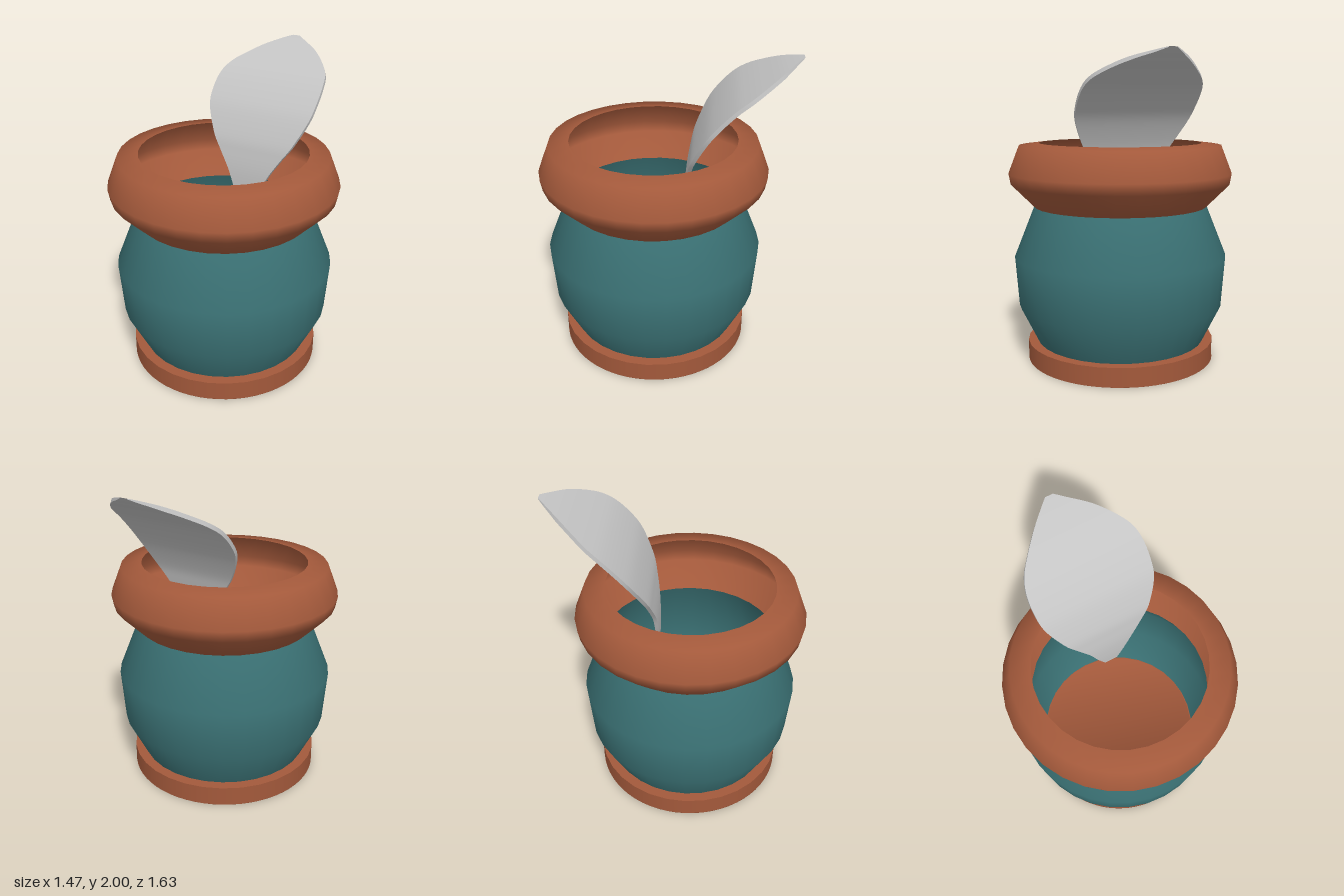
import * as THREE from 'three';
import { toCreasedNormals } from 'three/addons/utils/BufferGeometryUtils.js';

const SIDES = 32;

function material(name, color) {
  const m = new THREE.MeshStandardMaterial({ color, side: THREE.DoubleSide });
  m.name = name;
  return m;
}

function addMesh(parent, name, geometry, mat) {
  const mesh = new THREE.Mesh(geometry, mat);
  mesh.name = name;
  parent.add(mesh);
  return mesh;
}

// thin-walled turned part from [radius, height] pairs, bottom to top
function turned(profile) {
  return new THREE.LatheGeometry(profile.map(([r, y]) => new THREE.Vector2(r, y)), SIDES);
}

// flat floor whose normals blend softly into the base wall
function floorGeometry(radius) {
  const shape = new THREE.Shape().absarc(0, 0, radius, 0, Math.PI * 2);
  const geo = new THREE.ShapeGeometry(shape, SIDES).rotateX(Math.PI / 2);
  const pos = geo.attributes.position;
  const n = new THREE.Vector3();
  for (let i = 0; i < pos.count; i++) {
    n.set(pos.getX(i), -radius, pos.getZ(i)).normalize();
    geo.attributes.normal.setXYZ(i, n.x, n.y, n.z);
  }
  return geo;
}

// curved blade: rows of [left x, right x, y, z], swept as a thin slab
function bladeGeometry(rows, thickness, steps) {
  const left = new THREE.CatmullRomCurve3(rows.map(([l, , y, z]) => new THREE.Vector3(l, y, z)), false, 'catmullrom', 0.5);
  const right = new THREE.CatmullRomCurve3(rows.map(([, r, y, z]) => new THREE.Vector3(r, y, z)), false, 'catmullrom', 0.5);
  const points = [];
  const index = [];
  for (let i = 0; i <= steps; i++) {
    const a = left.getPoint(i / steps);
    const b = right.getPoint(i / steps);
    const t = left.getTangent(i / steps);
    t.x = 0;
    t.normalize();
    const th = thickness * Math.min(1, 0.15 + (steps - i) / 12);
    const dy = t.z * th;
    const dz = -t.y * th;
    points.push(a.x, a.y, a.z, b.x, b.y, b.z, b.x, b.y + dy, b.z + dz, a.x, a.y + dy, a.z + dz);
    if (i === steps) break;
    for (let j = 0; j < 4; j++) {
      const k = (j + 1) % 4;
      const o = i * 4;
      index.push(o + j, o + k, o + 4 + k, o + j, o + 4 + k, o + 4 + j);
    }
  }
  index.push(0, 3, 2, 0, 2, 1);
  const geo = new THREE.BufferGeometry();
  geo.setAttribute('position', new THREE.Float32BufferAttribute(points, 3));
  geo.setIndex(index);
  return toCreasedNormals(geo, 0.7);
}

export function createModel() {
  const model = new THREE.Group();
  model.name = 'potWithScoop';
  const clay = material('terracotta', 0xa3593b);
  const teal = material('tealGlaze', 0x3b7275);
  const metal = material('paleGrey', 0xc4c4c4);

  const pot = new THREE.Group();
  pot.name = 'pot';
  pot.position.z = 0.08;
  model.add(pot);

  // foot with a floor, open towards the body
  addMesh(pot, 'baseWall', turned([[0.625, 0], [0.625, 0.125]]), clay);
  addMesh(pot, 'baseLedge', turned([[0.625, 0.125], [0.555, 0.126]]), clay);
  addMesh(pot, 'baseFloor', floorGeometry(0.625), clay);

  // bulging body
  addMesh(pot, 'body', turned([[0.56, 0.125], [0.68, 0.37], [0.705, 0.7], [0.573, 1.03]]), teal);

  // flared rim
  addMesh(pot, 'rim', turned([[0.573, 1.03], [0.722, 1.18], [0.735, 1.25], [0.665, 1.43], [0.535, 1.445]]), clay);

  // leaf-shaped scoop blade leaning back out of the opening
  addMesh(model, 'scoopBlade', bladeGeometry([
    [0.0, 0.09, 1.0, -0.12],
    [-0.05, 0.14, 1.11, -0.12],
    [-0.1, 0.2, 1.23, -0.128],
    [-0.17, 0.27, 1.34, -0.147],
    [-0.24, 0.34, 1.445, -0.175],
    [-0.32, 0.41, 1.6, -0.25],
    [-0.34, 0.425, 1.7, -0.325],
    [-0.335, 0.42, 1.79, -0.415],
    [-0.3, 0.395, 1.85, -0.5],
    [-0.23, 0.33, 1.9, -0.585],
    [-0.14, 0.23, 1.95, -0.68],
    [-0.05, 0.11, 1.985, -0.765],
    [0.0, 0.05, 2.0, -0.81],
  ], 0.024, 60), metal);

  return model;
}
